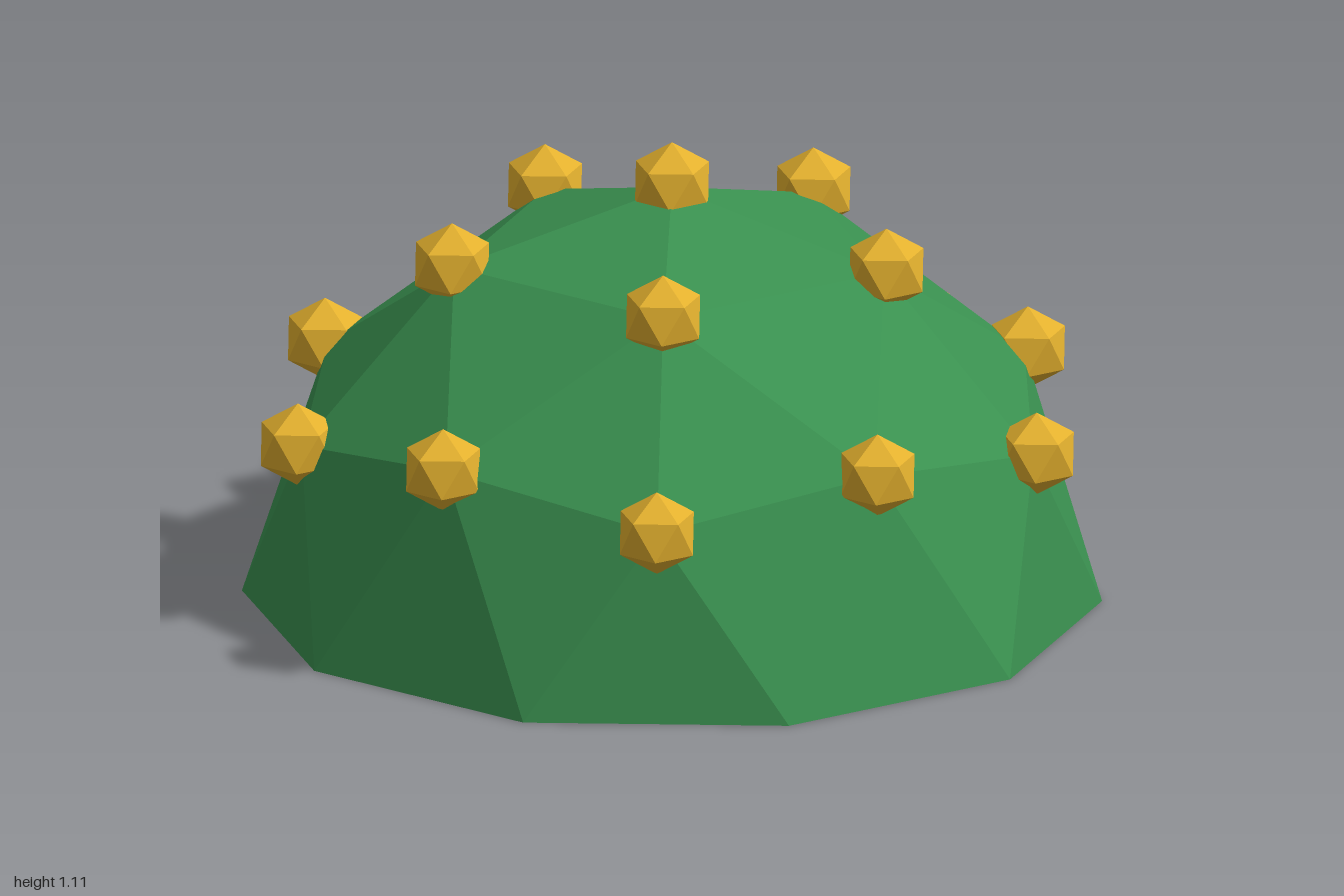
import * as THREE from 'three';

const RAD = Math.PI / 180;
const TURN = 87;           // heading of the first rib, in degrees
const UP = Math.atan(0.5); // latitude of the five main hubs

// point on a sphere: latitude in radians, heading in degrees
function onSphere(lat, deg, r = 1) {
  const a = deg * RAD;
  return new THREE.Vector3(Math.cos(a) * Math.cos(lat) * r, Math.sin(lat) * r, Math.sin(a) * Math.cos(lat) * r);
}

function flatGeometry(triangles) {
  const g = new THREE.BufferGeometry().setFromPoints(triangles.flat());
  g.computeVertexNormals();
  return g;
}

// hub with one corner straight up
function hubGeometry(r) {
  const tris = [];
  const top = new THREE.Vector3(0, r, 0), bottom = new THREE.Vector3(0, -r, 0);
  for (let k = 0; k < 5; k++) {
    const a = TURN + 36 + k * 72;
    const u0 = onSphere(UP, a, r), u1 = onSphere(UP, a + 72, r);
    const l0 = onSphere(-UP, a + 36, r), l1 = onSphere(-UP, a + 108, r);
    tris.push([top, u1, u0], [u0, u1, l0], [u1, l1, l0], [bottom, l0, l1]);
  }
  return flatGeometry(tris);
}

export function createModel() {
  const model = new THREE.Group();
  model.name = 'geodesicDome';
  const green = new THREE.MeshStandardMaterial({ color: 0x3a9150, flatShading: true });
  const gold = new THREE.MeshStandardMaterial({ color: 0xe3b02e, flatShading: true });

  const R = 1.001;
  const apex = new THREE.Vector3(0, R, 0);
  const high = Math.acos(Math.sqrt((1 - 1 / Math.sqrt(5)) / 2)); // latitude of the upper ring
  const mid = Math.asin(0.5257);                                 // latitude between main hubs
  const shell = [], base = [], hubs = [apex];

  // five identical sectors
  for (let k = 0; k < 5; k++) {
    const a = TURN + k * 72;
    const p0 = onSphere(high, a, R), p1 = onSphere(high, a + 72, R);
    const u0 = onSphere(UP, a, R), u1 = onSphere(UP, a + 72, R);
    const m = onSphere(mid, a + 36, R);
    const [b0, b1, b2] = [-18, 18, 54].map((d) => onSphere(0, a + d, R));
    shell.push(
      [apex, p1, p0], [p0, m, u0], [p0, p1, m], [p1, u1, m],
      [u0, b1, b0], [u0, m, b1], [m, b2, b1], [m, u1, b2]
    );
    const centre = new THREE.Vector3();
    base.push([centre, b0, b1], [centre, b1, b2]);
    hubs.push(p0, u0, m);
  }

  const dome = new THREE.Mesh(flatGeometry(shell), green);
  dome.name = 'domeShell';
  const floor = new THREE.Mesh(flatGeometry(base), green);
  floor.name = 'domeBase';
  model.add(dome, floor);

  // gold hubs at every joint above the base
  const hubShape = hubGeometry(0.1);
  const hubGroup = new THREE.Group();
  hubGroup.name = 'hubs';
  for (const p of hubs) {
    const hub = new THREE.Mesh(hubShape, gold);
    hub.name = 'hub';
    hub.position.copy(p).multiplyScalar(1.01);
    hubGroup.add(hub);
  }
  model.add(hubGroup);

  // centre the whole on z
  for (const part of model.children) part.position.z = -0.012;
  return model;
}
